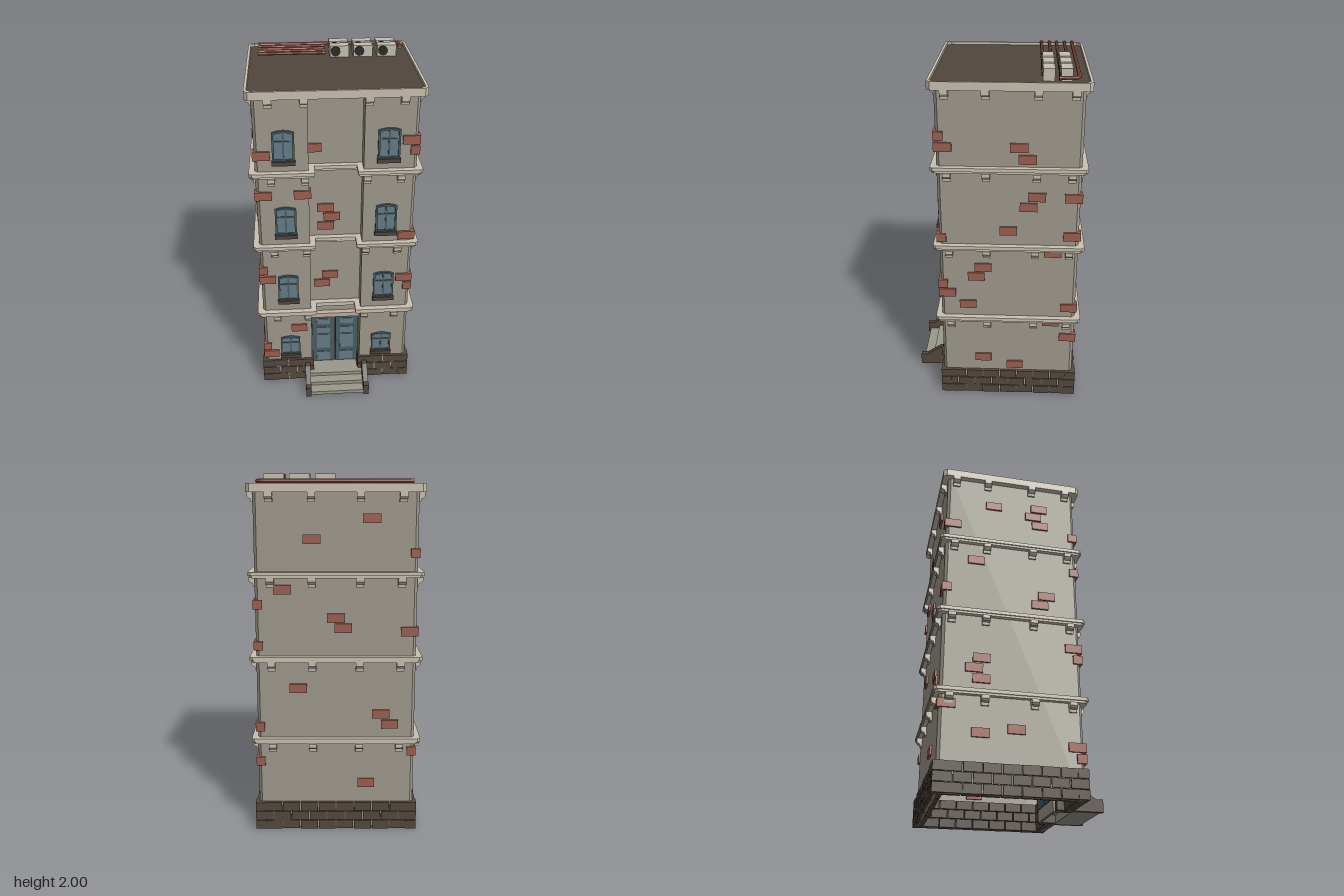
import * as THREE from 'three';

const mat = (color, extra = {}) => new THREE.MeshStandardMaterial({ color, flatShading: true, ...extra });
const M = {
  wall: mat(0x9e998c), trim: mat(0xc9c0b0), brick: mat(0x9c5f50), stone: mat(0x54483e), roof: mat(0x52463d),
  frame: mat(0x4a5d65), glass: mat(0x667d86), sill: mat(0x51443d), step: mat(0x9a978a), metal: mat(0xc6bfb1),
  pipe: mat(0x9c5c4c), dark: mat(0x2b2826), lintel: mat(0xc2b0a2),
};

function add(parent, name, geo, material, x = 0, y = 0, z = 0) {
  const mesh = new THREE.Mesh(geo, material);
  mesh.name = name;
  mesh.position.set(x, y, z);
  parent.add(mesh);
  return mesh;
}

// box given by its limits
const box = (p, name, m, x0, x1, y0, y1, z0, z1) =>
  add(p, name, new THREE.BoxGeometry(x1 - x0, y1 - y0, z1 - z0), m, (x0 + x1) / 2, (y0 + y1) / 2, (z0 + z1) / 2);

// chamfered plan of the tower, grown by o, with or without the entrance recess
function plan(o, recess, c = 0.016) {
  const X = 0.44 + o, F = 0.315 + o, B = -0.46 - o, r = 0.15 - o, R = 0.23 + o;
  const pts = [[-X, F - c], [-X + c, F]];
  if (recess) pts.push([-r, F], [-r, R], [r, R], [r, F]);
  pts.push([X - c, F], [X, F - c], [X, B + c], [X - c, B], [-X + c, B], [-X, B + c]);
  return pts.map(([x, z]) => new THREE.Vector2(x, -z));
}

function slab(p, name, m, y0, y1, outer, inner) {
  const shape = new THREE.Shape(outer);
  if (inner) shape.holes.push(new THREE.Path(inner));
  const geo = new THREE.ExtrudeGeometry(shape, { depth: y1 - y0, bevelEnabled: false });
  geo.rotateX(-Math.PI / 2);
  return add(p, name, geo, m, 0, y0, 0);
}

function archShape(w, h, rise) {
  const s = new THREE.Shape();
  s.moveTo(-w / 2, 0);
  s.lineTo(w / 2, 0);
  s.lineTo(w / 2, h - rise);
  s.quadraticCurveTo(0, h + rise, -w / 2, h - rise);
  s.closePath();
  return s;
}

const extrude = (shape, depth) => new THREE.ExtrudeGeometry(shape, { depth, bevelEnabled: false, curveSegments: 6 });

function makeWindow(h) {
  const g = new THREE.Group(), w = 0.12;
  g.name = 'window';
  const ring = archShape(w, h, 0.012);
  const inner = archShape(w - 0.022, h - 0.022, 0.01).getPoints(6).map(p => new THREE.Vector2(p.x, p.y + 0.011));
  ring.holes.push(new THREE.Path(inner));
  add(g, 'windowFrame', extrude(ring, 0.014), M.frame, 0, 0, -0.004);
  add(g, 'windowGlass', extrude(archShape(w - 0.01, h - 0.006, 0.012), 0.005), M.glass, 0, 0.003, -0.002);
  box(g, 'mullion', M.frame, -0.005, 0.005, 0.008, h - 0.006, 0, 0.009);
  box(g, 'transom', M.frame, -0.052, 0.052, h * 0.62, h * 0.62 + 0.008, 0, 0.008);
  box(g, 'windowSill', M.sill, -0.064, 0.064, -0.021, 0.003, -0.01, 0.022);
  return g;
}

// corbel whose profile projects along +z and is 0.042 wide
const corbelShape = new THREE.Shape([[0, 0], [0.033, 0], [0.033, -0.02], [0.024, -0.032], [0.012, -0.036], [0.01, -0.052], [0, -0.052]]
  .map(([x, y]) => new THREE.Vector2(x, y)));
const corbelGeo = extrude(corbelShape, 0.042).translate(0, 0, -0.021).rotateY(-Math.PI / 2);

export function createModel() {
  const model = new THREE.Group();
  model.name = 'brickTower';

  // hollow walls, roof and cornices
  slab(model, 'walls', M.wall, 0, 1.92, plan(0, true), plan(-0.01, true));
  slab(model, 'roofDeck', M.roof, 1.915, 1.935, plan(0.025, false));
  slab(model, 'roofCornice', M.trim, 1.905, 1.95, plan(0.033, false, 0.02), plan(0.018, false, 0.02));
  slab(model, 'roofSoffit', M.trim, 1.905, 1.916, plan(0.026, false));
  const ledges = [0.52, 0.99, 1.455];
  for (const y of ledges) {
    slab(model, 'floorCornice', M.trim, y, y + 0.022, plan(0.026, true), plan(-0.006, true));
    slab(model, 'floorCorniceCap', M.trim, y + 0.012, y + 0.032, plan(0.033, true), plan(-0.006, true));
  }

  // corbels below each cornice
  for (const y of [...ledges, 1.905]) {
    const corbel = (x, z, turn) => { add(model, 'corbel', corbelGeo, M.trim, x, y, z).rotation.y = turn; };
    for (const s of [-1, 1]) {
      for (const x of [0.17, 0.355]) corbel(s * x, 0.315, 0);
      for (const x of [0.13, 0.355]) corbel(s * x, -0.46, Math.PI);
      for (const z of [0.26, 0.05, -0.22, -0.41]) corbel(s * 0.44, z, s * Math.PI / 2);
    }
  }

  // windows
  for (const [y, h] of [[0.207, 0.14], [0.63, 0.177], [1.09, 0.177], [1.55, 0.177]])
    for (const s of [-1, 1]) {
      const w = makeWindow(h);
      w.position.set(s * 0.283, y, 0.317);
      model.add(w);
    }

  // staggered foundation stones along each edge
  const stones = new THREE.Group();
  stones.name = 'foundationStones';
  model.add(stones);
  const edges = [[-0.46, 0.33, -0.14, 0.33], [0.14, 0.33, 0.46, 0.33], [0.46, 0.33, 0.46, -0.48],
    [0.46, -0.48, -0.46, -0.48], [-0.46, -0.48, -0.46, 0.33], [-0.14, 0.33, -0.14, 0.23], [0.14, 0.23, 0.14, 0.33]];
  for (const [x0, z0, x1, z1] of edges) {
    const run = new THREE.Group(), len = Math.hypot(x1 - x0, z1 - z0), n = Math.max(1, Math.round(len / 0.108)), w = len / n;
    run.position.set(x0, 0, z0);
    run.rotation.y = -Math.atan2(z1 - z0, x1 - x0);
    for (let row = 0; row < 3; row++)
      for (let i = 0; i <= n; i++) {
        const shift = row % 2 ? 0 : w / 2;
        const a = Math.max(0, i * w - shift), b = Math.min(len, (i + 1) * w - shift);
        if (b - a < 0.01) continue;
        const out = ((i * 7 + row * 5) % 3) * 0.002;
        box(run, 'stone', M.stone, a + (a > 0 ? 0.003 : 0), b - (b < len ? 0.003 : 0),
          row * 0.055, row * 0.055 + 0.051, -0.06, -out);
      }
    stones.add(run);
  }
  slab(model, 'mortar', M.wall, 0.002, 0.16, plan(0.008, true), plan(-0.008, true));

  // double entrance door with raised panels
  const door = new THREE.Group();
  door.name = 'entranceDoor';
  model.add(door);
  for (const s of [-1, 1]) {
    box(door, 'doorLeaf', M.frame, s * 0.0745 - 0.072, s * 0.0745 + 0.072, 0.07, 0.437, 0.215, 0.246);
    for (const [y, h] of [[0.115, 0.07], [0.235, 0.11], [0.325, 0.045], [0.395, 0.04]])
      box(door, 'doorPanel', M.glass, s * 0.073 - 0.042, s * 0.073 + 0.042, y - h / 2, y + h / 2, 0.24, 0.25);
    add(door, 'doorKnob', new THREE.SphereGeometry(0.006, 8, 6), M.trim, s * 0.014, 0.235, 0.254);
  }
  box(door, 'lintel', M.lintel, -0.148, 0.148, 0.438, 0.468, 0.22, 0.262);

  // entrance steps with sloping cheek walls
  [0.48, 0.42, 0.362].forEach((z, i) => box(model, 'step', M.step, -0.166, 0.166, i * 0.0235, (i + 1) * 0.0235, 0.32, z));
  box(model, 'landing', M.step, -0.138, 0.138, 0.047, 0.0705, 0.225, 0.325);
  const cheek = new THREE.Shape([[0.3, 0], [0.495, 0], [0.495, 0.07], [0.455, 0.07], [0.365, 0.132], [0.3, 0.132]]
    .map(([z, y]) => new THREE.Vector2(z, y)));
  const cheekGeo = extrude(cheek, 0.032).translate(0, 0, -0.016).rotateY(-Math.PI / 2);
  for (const s of [-1, 1]) add(model, 'stepCheek', cheekGeo, M.stone, s * 0.179, 0, 0);

  // exposed bricks: flat ones on each face
  const bricks = new THREE.Group();
  bricks.name = 'exposedBricks';
  model.add(bricks);
  const H = 0.025, L = 0.048;
  const onZ = (x, y, z, half = L) => box(bricks, 'brick', M.brick, x - half, x + half, y - H, y + H, z - 0.018, z + 0.018);
  const onX = (x, y, z) => box(bricks, 'brick', M.brick, x - 0.018, x + 0.018, y - H, y + H, z - L, z + L);
  [[-0.055, 1.21], [-0.02, 1.15], [-0.055, 1.09], [-0.03, 0.745], [-0.08, 0.685]].forEach(([x, y]) => onZ(x, y, 0.222));
  onZ(-0.113, 1.585, 0.222, 0.038);
  onZ(-0.225, 0.412, 0.307);
  box(bricks, 'recessCornerBrick', M.brick, -0.234, -0.138, 1.317, 1.367, 0.275, 0.325);
  [[0.13, 1.66], [-0.19, 1.77], [0.29, 1.39], [0, 1.235], [-0.04, 1.18], [0.21, 0.84], [-0.25, 0.69], [-0.3, 0.63], [-0.17, 0.28]]
    .forEach(([x, y]) => onZ(x, y, -0.454));
  [[1.595, -0.125], [1.53, -0.17], [1.315, -0.225], [1.255, -0.18], [1.11, -0.07], [0.875, 0.07], [0.815, 0.11], [0.63, 0.16],
    [0.975, -0.32], [0.515, -0.32], [0.255, 0.075], [0.205, -0.115]].forEach(([y, z]) => onX(0.433, y, z));
  [[1.76, 0.095], [1.7, 0.06], [1.64, 0.1], [1.74, -0.18], [1.35, -0.28], [1.16, 0.13], [1.1, 0.09], [0.74, -0.24], [0.68, -0.28],
    [0.62, -0.24], [0.32, -0.24], [0.35, -0.05]].forEach(([y, z]) => onX(-0.433, y, z));

  // bricks wrapping the corners, long along x or along z
  const corner = (sx, back, y, alongX) => {
    const x = [0.45 - (alongX ? 0.095 : 0.05), 0.45], d = alongX ? 0.053 : 0.097;
    const [x0, x1] = sx > 0 ? x : [-x[1], -x[0]];
    box(bricks, 'cornerBrick', M.brick, x0, x1, y - H, y + H, back ? -0.471 : 0.327 - d, back ? -0.471 + d : 0.327);
  };
  for (const [sx, back, y, alongX] of [
    [1, 0, 1.655, 1], [1, 0, 1.595, 0], [1, 0, 1.06, 1], [1, 0, 0.765, 1], [1, 0, 0.705, 0],
    [-1, 0, 1.583, 1], [-1, 0, 1.34, 1], [-1, 0, 0.845, 0], [-1, 0, 0.78, 1], [-1, 0, 0.275, 0], [-1, 0, 0.215, 1],
    [1, 1, 1.31, 0], [1, 1, 1.08, 0], [1, 1, 0.615, 0], [1, 1, 0.41, 0],
    [-1, 1, 1.585, 0], [-1, 1, 1.16, 1], [-1, 1, 0.47, 0]]) corner(sx, back, y, alongX);

  // rooftop air conditioners
  for (const x of [0.002, 0.139, 0.276])
    for (const z of [-0.392, -0.301]) {
      const unit = new THREE.Group();
      unit.name = 'airConditioner';
      unit.position.set(x, 1.935, z);
      box(unit, 'unitCase', M.metal, 0, 0.11, 0, 0.065, 0, 0.061);
      add(unit, 'unitFan', new THREE.CylinderGeometry(0.028, 0.028, 0.012, 12).rotateX(Math.PI / 2), M.dark, 0.033, 0.034, 0.062);
      model.add(unit);
    }

  // rooftop pipes with end collars
  const V = (x, z) => new THREE.Vector3(x, 1.962, z);
  const collarGeo = new THREE.CylinderGeometry(0.0125, 0.0125, 0.014, 8);
  for (const z of [-0.38, -0.332, -0.29, -0.242]) {
    add(model, 'roofPipe', new THREE.CylinderGeometry(0.0095, 0.0095, 0.38, 8).rotateZ(Math.PI / 2), M.pipe, -0.217, 1.962, z);
    for (const x of [-0.404, -0.031]) add(model, 'pipeCollar', collarGeo, M.pipe, x, 1.962, z).rotation.z = Math.PI / 2;
  }
  const path = new THREE.CurvePath();
  path.add(new THREE.LineCurve3(V(-0.41, -0.425), V(0.38, -0.425)));
  path.add(new THREE.QuadraticBezierCurve3(V(0.38, -0.425), V(0.42, -0.425), V(0.42, -0.385)));
  path.add(new THREE.LineCurve3(V(0.42, -0.385), V(0.42, -0.322)));
  add(model, 'bentRoofPipe', new THREE.TubeGeometry(path, 60, 0.0105, 8), M.pipe);
  add(model, 'pipeCollar', collarGeo, M.pipe, -0.404, 1.962, -0.425).rotation.z = Math.PI / 2;
  add(model, 'pipeCollar', collarGeo, M.pipe, 0.42, 1.962, -0.327).rotation.x = Math.PI / 2;

  return model;
}
